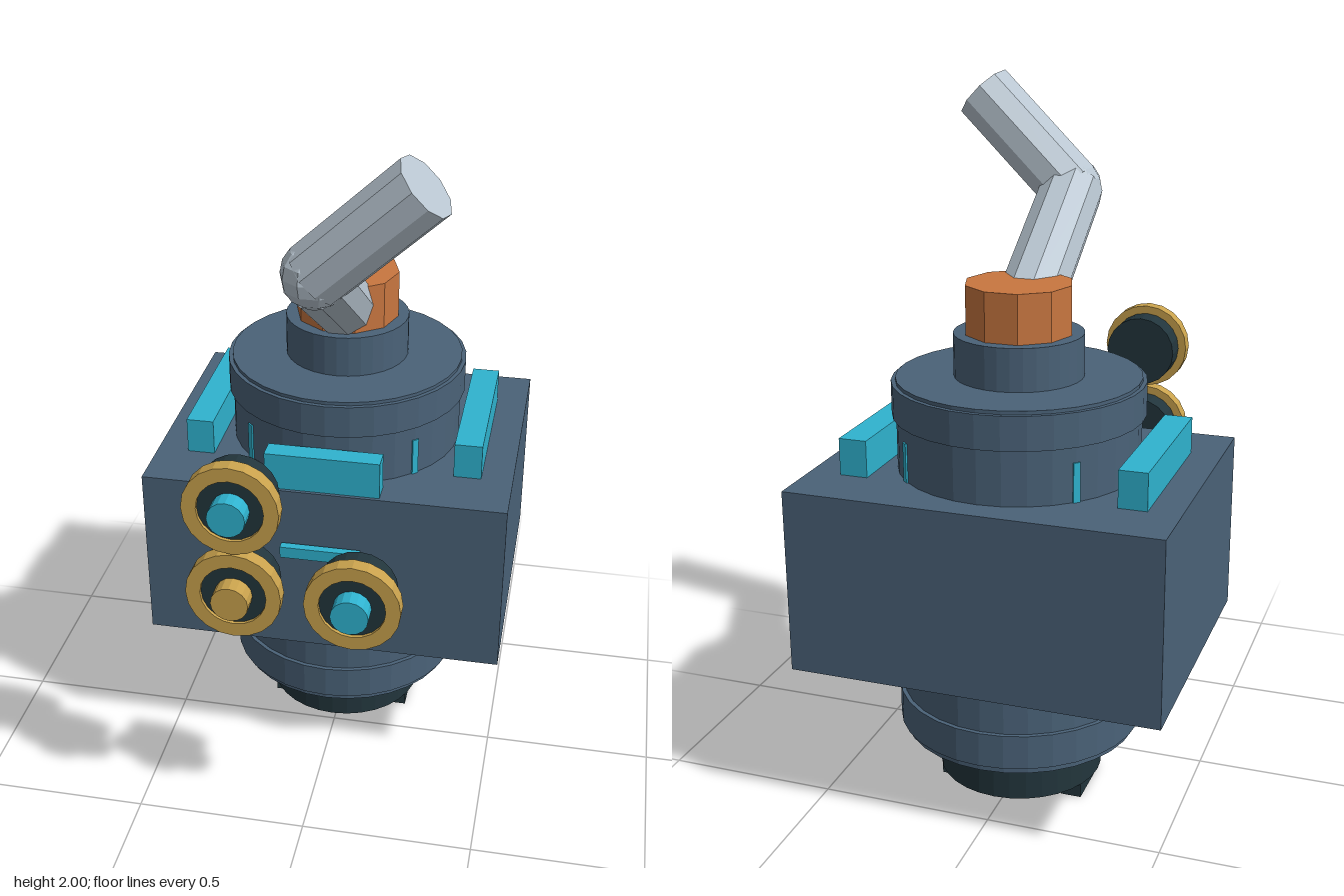
import * as THREE from 'three';

const mat = (name, color) => {
  const m = new THREE.MeshStandardMaterial({ color, flatShading: true });
  m.name = name;
  return m;
};

export function createModel() {
  const slate = mat('slate', 0x4a6278);
  const dark = mat('dark', 0x22353c);
  const cyan = mat('cyan', 0x2fb3cf);
  const gold = mat('gold', 0xc9a24d);
  const copper = mat('copper', 0xc87640);
  const silver = mat('silver', 0xb8c5d0);

  const model = new THREE.Group();
  const AXIS = -0.21; // z of the vertical axis of the body

  const add = (name, geometry, material, parent = model) => {
    const mesh = new THREE.Mesh(geometry, material);
    mesh.name = name;
    parent.add(mesh);
    return mesh;
  };
  // box given by its limits
  const box = (name, m, x0, x1, y0, y1, z0, z1) =>
    add(name, new THREE.BoxGeometry(x1 - x0, y1 - y0, z1 - z0), m)
      .position.set((x0 + x1) / 2, (y0 + y1) / 2, (z0 + z1) / 2);
  // upright cylinder on the body axis
  const drum = (name, m, r, y0, y1, sides = 32) =>
    add(name, new THREE.CylinderGeometry(r, r, y1 - y0, sides, 1, false, Math.PI / 2), m)
      .position.set(0, (y0 + y1) / 2, AXIS);

  // Body
  box('housing', slate, -0.525, 0.525, 0.45, 0.975, -0.625, 0.2);
  drum('core', slate, 0.34, 0.19, 1.235);
  drum('lowerBand', slate, 0.352, 0.21, 0.31);
  drum('upperBand', slate, 0.352, 1.13, 1.225);
  drum('neck', slate, 0.18, 1.235, 1.355);
  drum('collar', copper, 0.15, 1.355, 1.492, 10);

  // Base and its feet
  drum('base', dark, 0.238, 0.045, 0.19);
  for (const s of [-1, 1]) {
    const x = s * 0.185;
    box('foot', dark, x - 0.03, x + 0.03, 0, 0.05, -0.305, -0.115);
  }

  // Light bars on top of the housing
  for (const s of [-1, 1]) {
    const x = s * 0.394;
    box('sideBar', cyan, x - 0.04, x + 0.04, 0.975, 1.08, -0.457, 0.03);
  }
  box('frontBar', cyan, -0.165, 0.165, 0.975, 1.085, 0.13, 0.19);

  // Small upright markers on the diagonals of the core
  for (let i = 0; i < 4; i++) {
    const a = Math.PI / 4 + (i * Math.PI) / 2;
    const marker = add('marker', new THREE.BoxGeometry(0.02, 0.11, 0.02), cyan);
    marker.position.set(Math.sin(a) * 0.334, 1.03, AXIS + Math.cos(a) * 0.334);
    marker.rotation.y = a;
  }

  // Narrow strip in front of the housing
  box('frontStrip', cyan, -0.115, 0.115, 0.77, 0.805, 0.207, 0.232);

  // Floating dials: dark barrel, gold rim, coloured knob
  const disc = (r, z0, z1, sides) =>
    new THREE.CylinderGeometry(r, r, z1 - z0, sides).rotateX(Math.PI / 2).translate(0, 0, (z0 + z1) / 2);
  const rim = new THREE.LatheGeometry(
    [[0.09, 0.54], [0.13, 0.54], [0.13, 0.582], [0.09, 0.582], [0.09, 0.54]].map(([r, y]) => new THREE.Vector2(r, y)), 20
  ).rotateX(Math.PI / 2);
  for (const [x, y, knob] of [[-0.162, 1.135, cyan], [-0.162, 0.872, gold], [0.158, 0.872, cyan]]) {
    const dial = new THREE.Group();
    dial.name = 'dial';
    dial.position.set(x, y, 0);
    add('barrel', disc(0.106, 0.467, 0.541, 20), dark, dial);
    add('face', disc(0.0905, 0.54, 0.572, 20), dark, dial);
    add('rim', rim, gold, dial);
    add('knob', disc(0.051, 0.56, 0.623, 16), knob, dial);
    model.add(dial);
  }

  // Bent pipe
  const R = 0.093;
  const start = new THREE.Vector3(0, 1.36, AXIS);
  const elbow = new THREE.Vector3(0, 1.67, 0.26);
  const end = new THREE.Vector3(0.282, 1.935, 0.293);
  const pipe = (name, a, b) => {
    const d = b.clone().sub(a);
    const mesh = add(name, new THREE.CylinderGeometry(R, R, d.length(), 10, 1, false, Math.PI / 2), silver);
    mesh.position.copy(a).addScaledVector(d, 0.5);
    mesh.quaternion.setFromUnitVectors(new THREE.Vector3(0, 1, 0), d.normalize());
  };
  pipe('lowerPipe', start, elbow);
  pipe('upperPipe', elbow, end);
  add('pipeElbow', new THREE.SphereGeometry(R * 0.99, 10, 8), silver).position.copy(elbow);

  return model;
}
